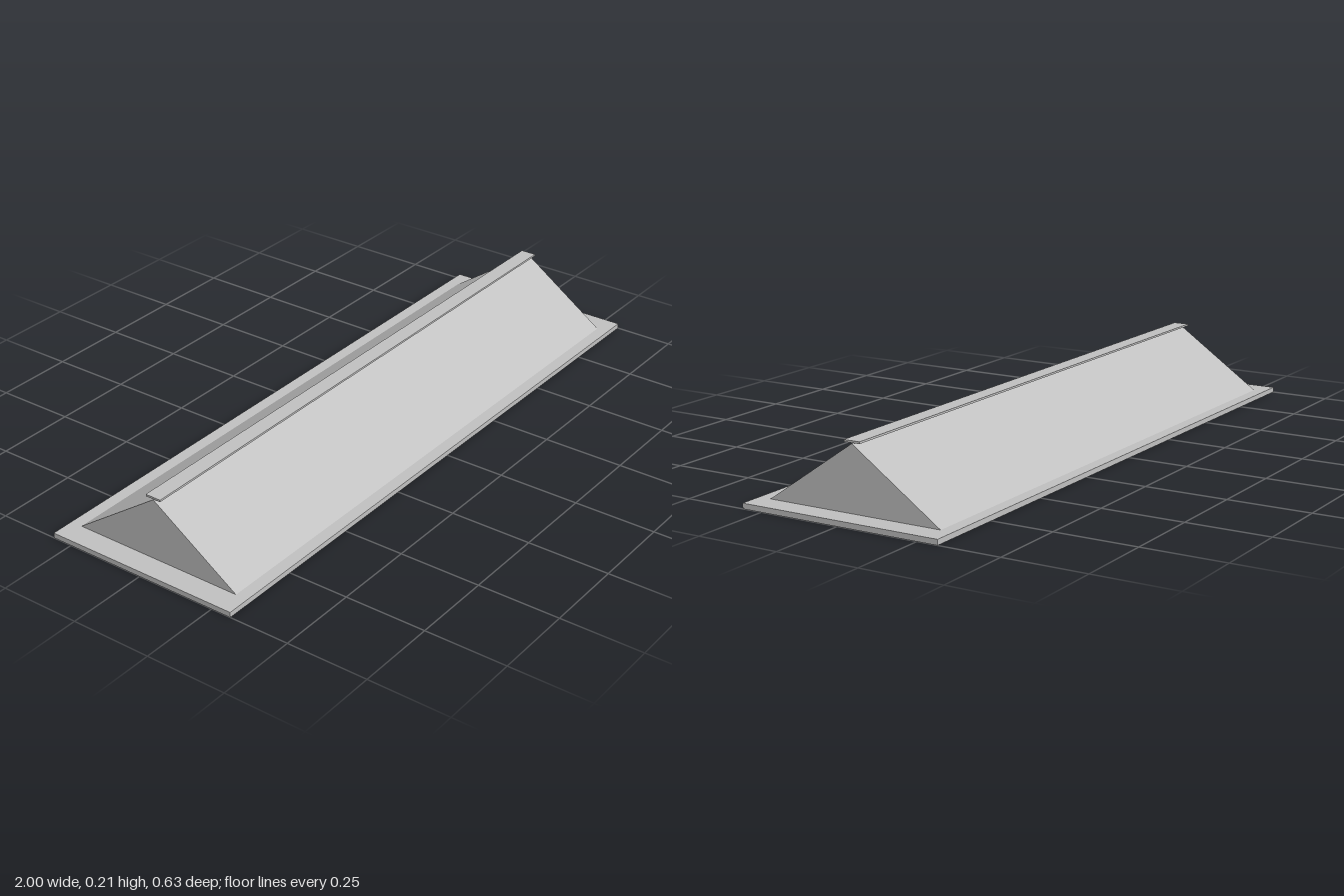
import * as THREE from 'three';

export function createModel() {
  const model = new THREE.Group();
  model.name = 'gabledSkylight';
  const grey = new THREE.MeshStandardMaterial({ color: 0xc0c0c0 });
  grey.name = 'plain grey';

  const add = (name, geometry, y = 0) => {
    const mesh = new THREE.Mesh(geometry, grey);
    mesh.name = name;
    mesh.position.y = y;
    model.add(mesh);
  };

  const baseTop = 0.016, apex = 0.206, halfDepth = 0.275, length = 1.86;

  // Flat rectangular base
  add('basePlate', new THREE.BoxGeometry(2, baseTop, 0.626), baseTop / 2);

  // Triangular prism running along x
  const gable = new THREE.Shape();
  gable.moveTo(-halfDepth, baseTop);
  gable.lineTo(halfDepth, baseTop);
  gable.lineTo(0, apex);
  gable.closePath();
  const roof = new THREE.ExtrudeGeometry(gable, { depth: length, bevelEnabled: false });
  roof.translate(0, 0, -length / 2).rotateY(Math.PI / 2);
  add('gabledRoof', roof);

  // Thin strip floating just above the ridge
  add('ridgeCap', new THREE.BoxGeometry(length, 0.006, 0.05), 0.211);

  return model;
}
